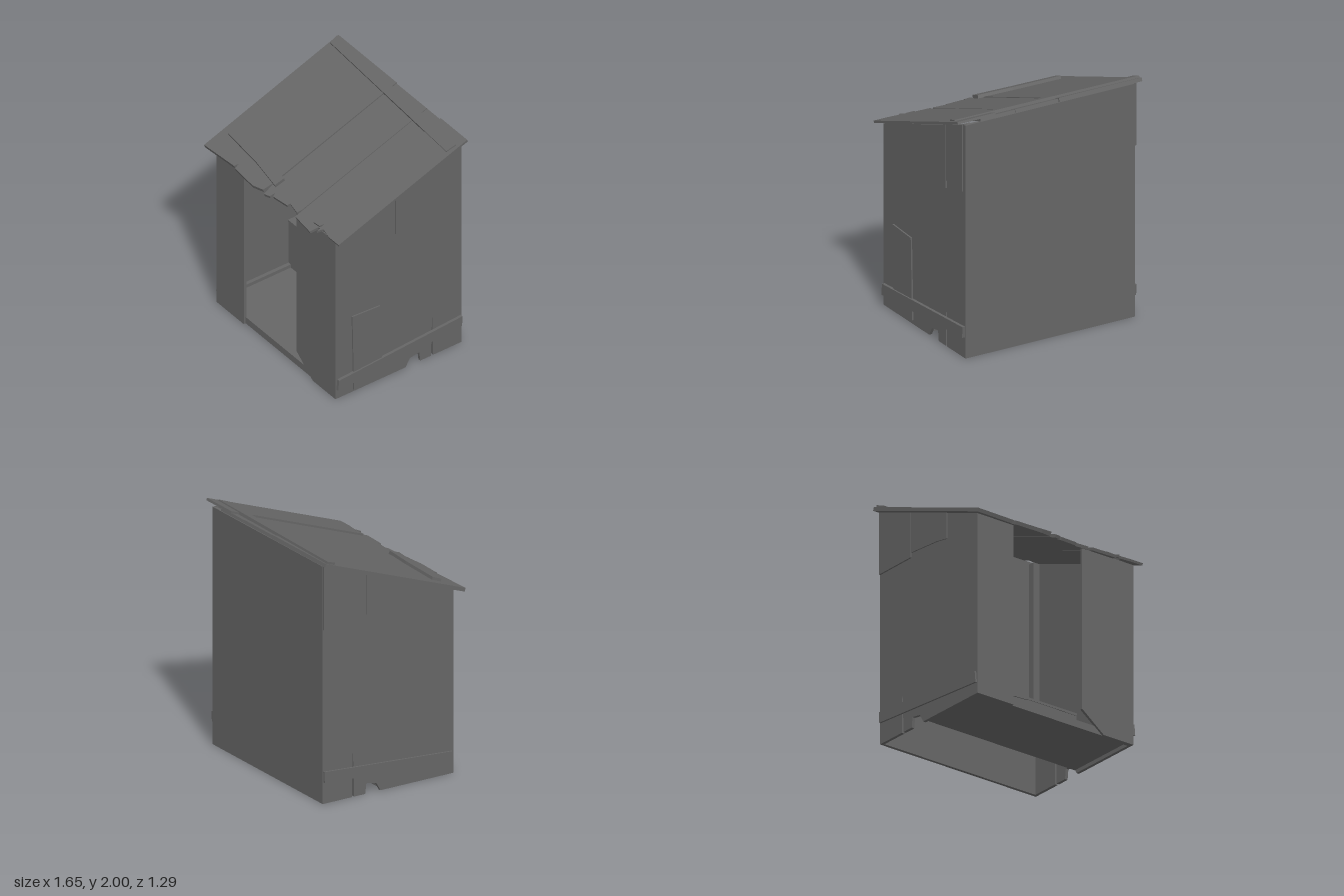
import * as THREE from 'three';

const SLOPE = 0.368;
const roofY = (z) => 1.722 - SLOPE * z; // underside of the roof

export function createModel() {
  const group = new THREE.Group();
  group.name = 'outhouse';
  const wood = new THREE.MeshStandardMaterial({ color: 0x666666 });
  wood.name = 'grey wood';

  const add = (name, geometry) => {
    const mesh = new THREE.Mesh(geometry, wood);
    mesh.name = name;
    group.add(mesh);
    return mesh;
  };
  const extrude = (points, depth) => new THREE.ExtrudeGeometry(
    new THREE.Shape(points.map(([a, b]) => new THREE.Vector2(a, b))),
    { depth, bevelEnabled: false });
  // box given by its extents on each axis
  const box = (name, [x0, x1], [y0, y1], [z0, z1]) => add(name,
    new THREE.BoxGeometry(x1 - x0, y1 - y0, z1 - z0)
      .translate((x0 + x1) / 2, (y0 + y1) / 2, (z0 + z1) / 2));
  // panel facing the front, outline in x, y
  const frontPanel = (name, points, z, depth) => add(name, extrude(points, depth).translate(0, 0, z));
  // panel facing sideways, outline in z, y
  const sidePanel = (name, points, x, depth) => add(name,
    extrude(points.map(([z, y]) => [-z, y]), depth).rotateY(Math.PI / 2).translate(x, 0, 0));
  // board lying on the sloped roof, outline in x, z
  const roofBoard = (name, points, bottom, top) => {
    const g = extrude(points.map(([x, z]) => [x, -z]), top - bottom).rotateX(-Math.PI / 2);
    const p = g.attributes.position;
    for (let i = 0; i < p.count; i++) {
      const t = p.getY(i) + bottom, z = p.getZ(i);
      p.setY(i, roofY(z) + t);
      p.setZ(i, z + (t - 0.015) * 0.35);
    }
    g.computeVertexNormals();
    return add(name, g);
  };

  // side walls with rotted notches along the bottom, each with a skewed skirting plank
  const wallOutline = [
    [0.565, 0], [-0.1, 0], [-0.14, 0.07], [-0.23, 0.085], [-0.24, 0],
    [-0.343, 0], [-0.345, 0.2], [-0.354, 0.37], [-0.36, 0.17], [-0.362, 0],
    [-0.61, 0], [-0.61, roofY(-0.61)], [0.565, roofY(0.565)],
  ];
  const plank = [[0.56, 0.09], [0.55, 0.185], [-0.625, 0.265], [-0.62, 0.175]];
  sidePanel('leftWall', wallOutline, 0.725, 0.025);
  sidePanel('rightWall', wallOutline, -0.77, 0.025);
  sidePanel('leftSkirtingPlank', plank, 0.75, 0.024);
  sidePanel('rightSkirtingPlank', plank, -0.785, 0.015);

  // repair patches on the side walls
  sidePanel('leftUpperPatch', [[0, 1.335], [-0.36, 1.325], [-0.36, roofY(-0.36)], [0, roofY(0)]], 0.75, 0.014);
  sidePanel('leftRearPatch', [[-0.365, 1.39], [-0.595, 1.385], [-0.595, roofY(-0.595)], [-0.365, roofY(-0.365)]], 0.75, 0.01);
  sidePanel('leftLowerPatch', [[0.415, 0.73], [0.4, 0.02], [0.13, 0.035], [0.15, 0.715]], 0.75, 0.012);
  sidePanel('rightRearPatch', [[-0.24, 1.43], [-0.625, 1.425], [-0.625, roofY(-0.625)], [-0.24, roofY(-0.24)]], -0.783, 0.013);
  sidePanel('rightMiddlePatch', [[0.2, 1.43], [0.08, 1.45], [-0.235, 1.47], [-0.235, roofY(-0.235)], [0.2, roofY(0.2)]], -0.78, 0.01);

  // back wall, and front walls either side of the doorway
  box('backWall', [-0.77, 0.75], [0, roofY(-0.605)], [-0.63, -0.605]);
  const top = roofY(0.565);
  frontPanel('frontWallRight', [[-0.77, 0], [-0.42, 0], [-0.42, top], [-0.77, top]], 0.545, 0.023);
  frontPanel('frontWallLeft', [[0.46, 0], [0.75, 0], [0.75, top], [0.25, top], [0.25, 0.16]], 0.545, 0.023);

  // floor, sill and inner rails
  box('floor', [-0.745, 0.725], [0.03, 0.055], [-0.12, 0.53]);
  box('doorSill', [-0.745, 0.725], [0, 0.06], [0.525, 0.55]);
  for (const x of [-0.745, 0.695]) {
    box('floorRail', [x, x + 0.03], [0.03, 0.085], [-0.1, 0.53]);
    box('cornerPost', x < 0 ? [-0.745, -0.685] : [0.665, 0.725], [0.5, roofY(-0.545)], [-0.605, -0.55]);
  }

  // bench with splintered front edge
  box('benchFront', [-0.745, 0.725], [0.03, 0.48], [-0.12, -0.1]);
  box('benchTop', [-0.745, 0.725], [0.48, 0.5], [-0.605, -0.095]);
  frontPanel('benchSplinter', [[-0.36, 0.49], [-0.345, 0.43], [-0.335, 0.5]], -0.1, 0.008);
  frontPanel('benchSplinter', [[-0.14, 0.485], [-0.06, 0.46], [0.25, 0.475], [0.25, 0.49]], -0.1, 0.008);

  // roof boards with broken front edges
  roofBoard('roofBoardRight', [[-0.825, -0.64], [-0.825, 0.64], [-0.47, 0.62], [-0.455, 0.585],
    [-0.445, 0.63], [-0.2, 0.645], [-0.1, 0.62], [-0.088, 0.55], [-0.083, -0.64]], 0, 0.028);
  roofBoard('roofBoardMiddle', [[-0.078, -0.635], [-0.08, 0.55], [-0.065, 0.64], [-0.01, 0.625], [0, 0.58],
    [0.015, 0.61], [0.17, 0.595], [0.18, 0.57], [0.29, 0.59], [0.303, 0.55], [0.307, -0.635]], 0, 0.024);
  roofBoard('roofBoardInnerLeft', [[0.311, -0.635], [0.309, 0.62], [0.52, 0.64], [0.54, 0.575],
    [0.62, 0.56], [0.62, -0.635]], 0, 0.022);
  roofBoard('roofBoardLeft', [[0.485, -0.64], [0.483, 0.57], [0.55, 0.565], [0.565, 0.53], [0.575, 0.61],
    [0.6, 0.565], [0.7, 0.585], [0.823, 0.585], [0.823, -0.64]], 0.018, 0.036);

  // battens nailed across the roof
  roofBoard('topBatten', [[-0.815, -0.625], [-0.805, -0.55], [0.785, -0.47], [0.795, -0.555]], 0.02, 0.045);
  roofBoard('lowerBatten', [[-0.735, 0.39], [-0.745, 0.465], [-0.33, 0.5], [-0.04, 0.545],
    [-0.035, 0.46], [-0.32, 0.42]], 0.025, 0.05);

  return group;
}
